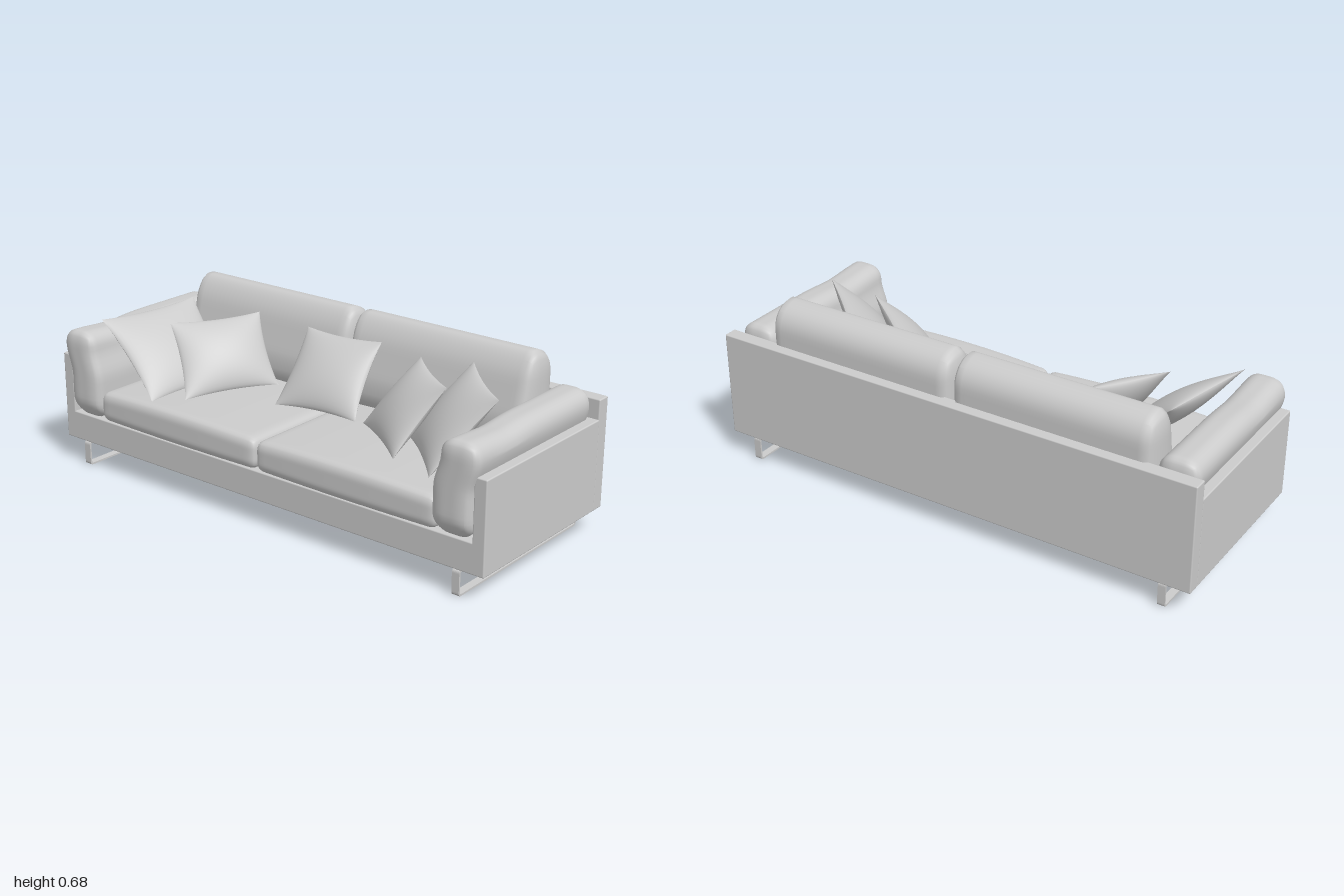
import * as THREE from 'three';
import { mergeVertices, mergeGeometries } from 'three/addons/utils/BufferGeometryUtils.js';
import { RoundedBoxGeometry } from 'three/addons/geometries/RoundedBoxGeometry.js';

const material = new THREE.MeshStandardMaterial({ color: 0xcccccc });

function add(parent, name, geometry) {
  const mesh = new THREE.Mesh(geometry, material);
  mesh.name = name;
  parent.add(mesh);
  return mesh;
}

// Box given by its min and max corners, with barely eased edges
function panel(min, max) {
  const size = max.map((m, i) => m - min[i]);
  return new RoundedBoxGeometry(...size, 2, 0.005)
    .translate(...max.map((m, i) => (m + min[i]) / 2));
}

// Upholstered block: min/max corners, a rounding radius per axis, and a warp rule
function cushion(min, max, radii, warp) {
  const raw = new THREE.BoxGeometry(2, 2, 2, 24, 24, 24);
  raw.deleteAttribute('normal');
  raw.deleteAttribute('uv');
  const geometry = mergeVertices(raw);
  const pos = geometry.attributes.position;
  const p = new THREE.Vector3();
  for (let i = 0; i < pos.count; i++) {
    p.fromBufferAttribute(pos, i);
    const inner = [], off = new THREE.Vector3();
    ['x', 'y', 'z'].forEach((axis, k) => {
      const half = (max[k] - min[k]) / 2;
      const v = Math.sin(p[axis] * Math.PI / 2) * half; // denser near the edges
      const c = THREE.MathUtils.clamp(v, radii[k] - half, half - radii[k]);
      inner.push(c + (max[k] + min[k]) / 2);
      off[axis] = (v - c) / radii[k];
    });
    off.normalize();
    p.set(inner[0] + off.x * radii[0], inner[1] + off.y * radii[1], inner[2] + off.z * radii[2]);
    warp(p);
    pos.setXYZ(i, p.x, p.y, p.z);
  }
  geometry.computeVertexNormals();
  return geometry;
}

// Throw pillow stretched between four corners: two bulging sheets meeting at a seam
function pillow(corners, thickness) {
  const [bl, br, tr, tl] = corners.map(c => new THREE.Vector3(...c));
  const right = br.clone().sub(bl).add(tr).sub(tl);
  const up = tl.clone().sub(bl).add(tr).sub(br);
  const normal = right.cross(up).normalize();
  const sheets = [1, -1].map(side => {
    const sheet = new THREE.PlaneGeometry(2, 2, 20, 20);
    if (side < 0) sheet.rotateY(Math.PI);
    const pos = sheet.attributes.position;
    for (let i = 0; i < pos.count; i++) {
      const x = Math.sin(pos.getX(i) * Math.PI / 2), y = Math.sin(pos.getY(i) * Math.PI / 2);
      const ex = Math.max(0, 1 - x * x), ey = Math.max(0, 1 - y * y);
      const u = (x * (1 - 0.07 * ey) + 1) / 2, v = (y * (1 - 0.07 * ex) + 1) / 2;
      const p = bl.clone().lerp(br, u).lerp(tl.clone().lerp(tr, u), v);
      p.addScaledVector(normal, side * thickness * Math.pow(ex * ey, 0.6));
      pos.setXYZ(i, p.x, p.y, p.z);
    }
    sheet.computeVertexNormals();
    return sheet;
  });
  return mergeGeometries(sheets);
}

// Rounded rectangle outline, used for the leg loops
function roundedRect(path, x0, y0, x1, y1, r) {
  path.moveTo(x0 + r, y0);
  path.lineTo(x1 - r, y0);
  path.quadraticCurveTo(x1, y0, x1, y0 + r);
  path.lineTo(x1, y1 - r);
  path.quadraticCurveTo(x1, y1, x1 - r, y1);
  path.lineTo(x0 + r, y1);
  path.quadraticCurveTo(x0, y1, x0, y1 - r);
  path.lineTo(x0, y0 + r);
  path.quadraticCurveTo(x0, y0, x0 + r, y0);
  return path;
}

export function createModel() {
  const sofa = new THREE.Group();
  sofa.name = 'sofa';

  // Frame
  add(sofa, 'base', panel([-0.96, 0.1, -0.35], [0.96, 0.215, 0.36]));
  add(sofa, 'backPanel', panel([-1, 0.1, -0.39], [1, 0.525, -0.335]));

  for (const s of [-1, 1]) {
    const side = s > 0 ? 'left' : 'right';
    const span = (a, b) => (s > 0 ? [a, b] : [-b, -a]);

    const [p0, p1] = span(0.95, 1);
    add(sofa, side + 'SidePanel', panel([p0, 0.1, -0.34], [p1, 0.45, 0.36]));

    // Arm cushion: upper roll leans outwards over the panel, front belly swells
    const [a0, a1] = span(0.79, 0.945);
    add(sofa, side + 'ArmCushion', cushion([a0, 0.21, -0.335], [a1, 0.562, 0.36], [0.06, 0.06, 0.03], p => {
      p.x += s * 0.028 * THREE.MathUtils.smoothstep(p.y, 0.38, 0.5);
      if (p.z > 0.2) p.z += 0.027 * THREE.MathUtils.smoothstep(p.y, 0.2, 0.29);
      if (p.y > 0.5) p.y -= 0.01 * Math.exp(-(((p.z - 0.18) / 0.1) ** 2));
    }));

    // Seat cushion with a gently crowned top
    const [c0, c1] = span(0.001, 0.8);
    add(sofa, side + 'SeatCushion', cushion([c0, 0.21, -0.25], [c1, 0.33, 0.362], [0.03, 0.04, 0.03], p => {
      const crown = Math.max(0, 1 - ((Math.abs(p.x) - 0.4) / 0.4) ** 2);
      if (p.y > 0.27) p.y += 0.012 * crown;
      if (p.z > 0.3) p.z += 0.008 * crown;
    }));

    // Back cushion, tapering forwards-to-back towards its crest
    const [b0, b1] = span(0.001, 0.81);
    add(sofa, side + 'BackCushion', cushion([b0, 0.3, -0.35], [b1, 0.683, -0.145], [0.035, 0.1, 0.1], p => {
      if (p.z > -0.25) p.z = -0.25 + (p.z + 0.25) * (1 - 2.2 * Math.max(0, p.y - 0.45));
    }));

    // Sled leg: flat bar bent into a closed loop
    const loop = roundedRect(new THREE.Shape(), -0.36, 0, 0.383, 0.098, 0.014);
    loop.holes.push(roundedRect(new THREE.Path(), -0.353, 0.007, 0.376, 0.091, 0.008));
    const leg = new THREE.ExtrudeGeometry(loop, { depth: 0.03, bevelEnabled: false, curveSegments: 6 });
    leg.rotateY(Math.PI / 2).translate(s * 0.89 - 0.015, 0.002, 0);
    add(sofa, side + 'Leg', leg);
  }

  // Throw pillows: bottom-left, bottom-right, top-right, top-left corners
  const pillows = {
    rightOuterPillow: [[-0.54, 0.345, 0.335], [-0.48, 0.35, -0.07], [-0.76, 0.61, -0.13], [-0.84, 0.6, 0.295]],
    rightInnerPillow: [[-0.445, 0.35, 0.25], [-0.27, 0.36, -0.085], [-0.43, 0.605, -0.16], [-0.62, 0.595, 0.145]],
    middlePillow: [[-0.16, 0.345, 0.06], [0.2, 0.355, 0.03], [0.17, 0.605, -0.165], [-0.18, 0.595, -0.16]],
    leftInnerPillow: [[0.23, 0.355, 0.02], [0.53, 0.36, 0.235], [0.635, 0.6, 0.075], [0.36, 0.595, -0.15]],
    leftOuterPillow: [[0.42, 0.345, -0.005], [0.7, 0.345, 0.26], [0.855, 0.61, 0.085], [0.57, 0.615, -0.18]],
  };
  for (const [name, corners] of Object.entries(pillows)) add(sofa, name, pillow(corners, 0.05));

  return sofa;
}
